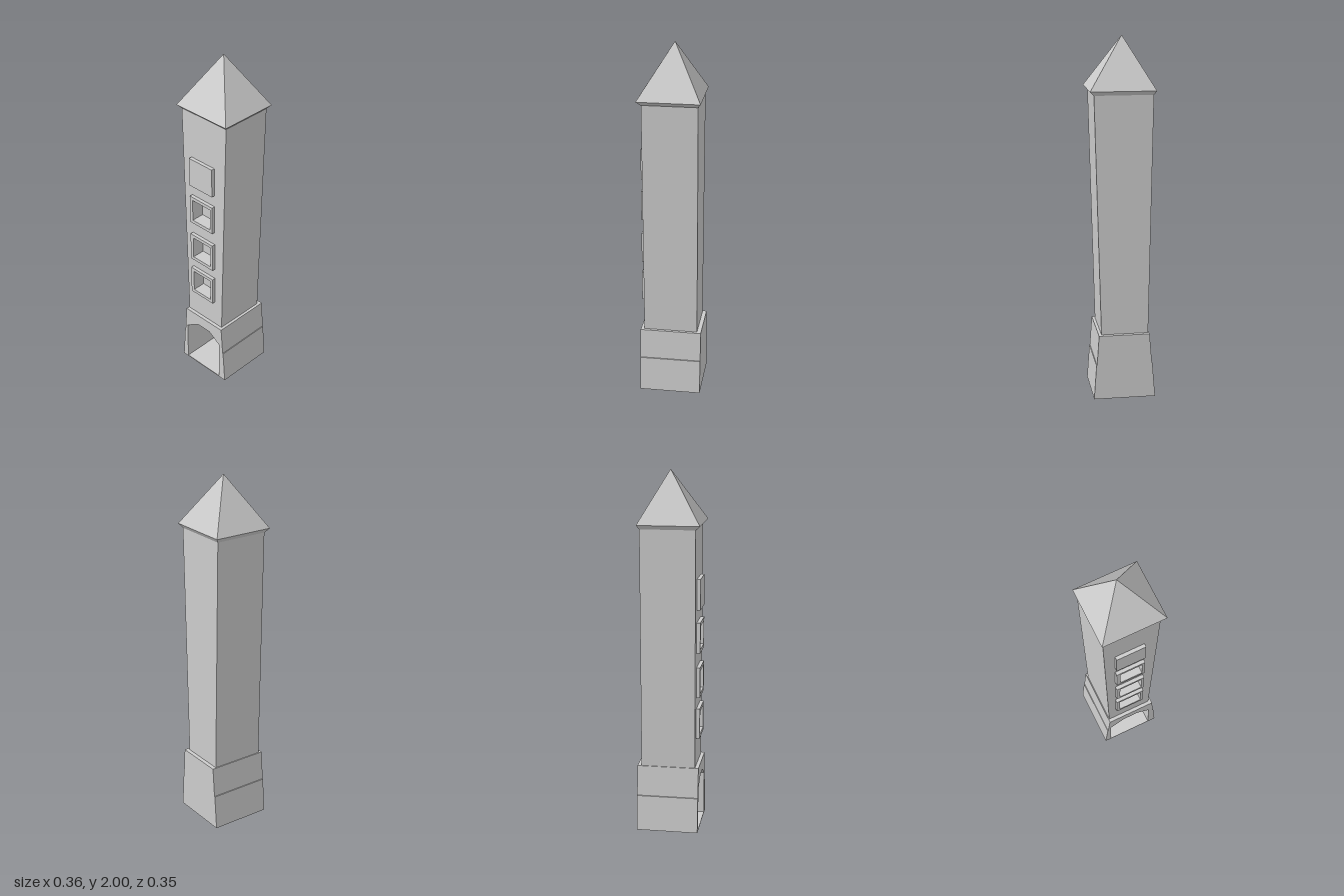
import * as THREE from 'three';

const material = new THREE.MeshStandardMaterial({ color: 0xcccccc, flatShading: true });

// Front outline (with optional holes) extruded from zBack to zFront
function slab(name, outline, zBack, zFront, holes = []) {
  const toPoints = list => list.map(([x, y]) => new THREE.Vector2(x, y));
  const shape = new THREE.Shape(toPoints(outline));
  shape.holes = holes.map(h => new THREE.Path(toPoints(h)));
  const geometry = new THREE.ExtrudeGeometry(shape, { depth: zFront - zBack, bevelEnabled: false });
  geometry.translate(0, 0, zBack);
  const mesh = new THREE.Mesh(geometry, material);
  mesh.name = name;
  return mesh;
}

const rect = (x0, y0, x1, y1) => [[x0, y0], [x1, y0], [x1, y1], [x0, y1]];

// Four-sided rings [x0, x1, z0, z1, y] joined from bottom to top
function ringSolid(name, rings) {
  const corners = rings.map(([x0, x1, z0, z1, y]) =>
    [[x0, y, z1], [x1, y, z1], [x1, y, z0], [x0, y, z0]]);
  const positions = [];
  const quad = (a, b, c, d) => positions.push(...a, ...b, ...c, ...a, ...c, ...d);
  for (let i = 0; i + 1 < corners.length; i++) {
    for (let k = 0; k < 4; k++) {
      const n = (k + 1) % 4;
      quad(corners[i][k], corners[i][n], corners[i + 1][n], corners[i + 1][k]);
    }
  }
  const [a, b, c, d] = corners[0];
  quad(d, c, b, a);
  const geometry = new THREE.BufferGeometry();
  geometry.setAttribute('position', new THREE.Float32BufferAttribute(positions, 3));
  geometry.computeVertexNormals();
  const mesh = new THREE.Mesh(geometry, material);
  mesh.name = name;
  return mesh;
}

export function createModel() {
  const tower = new THREE.Group();
  tower.name = 'tower';

  // Flared base with a fine ledge on the sides and a deep doorway
  const baseOutline = [
    [-0.178, 0], [0.166, 0], [0.152, 0.198], [0.149, 0.2],
    [0.137, 0.37], [-0.145, 0.37], [-0.159, 0.2], [-0.162, 0.198],
  ];
  const doorway = [
    [-0.14, 0.006], [0.119, 0.006], [0.119, 0.25],
    [0.04, 0.302], [-0.05, 0.302], [-0.14, 0.245],
  ];
  const base = new THREE.Group();
  base.name = 'base';
  base.add(slab('doorwayWalls', baseOutline, -0.12, 0.17, [doorway]));
  base.add(slab('baseBackWall', baseOutline, -0.173, -0.12));
  tower.add(base);

  // Shaft widening upwards, with three window recesses
  const shaftOutline = [[-0.14, 0.37], [0.121, 0.37], [0.156, 1.697], [-0.164, 1.697]];
  const windowBottoms = [0.53, 0.764, 1.015];
  const openings = windowBottoms.map(y => rect(-0.077, y + 0.02, 0.055, y + 0.15));
  const shaft = new THREE.Group();
  shaft.name = 'shaft';
  shaft.add(slab('shaftFront', shaftOutline, 0.095, 0.15, openings));
  shaft.add(slab('shaftBody', shaftOutline, -0.15, 0.095));
  tower.add(shaft);

  // Raised window frames and the closed panel above them
  windowBottoms.forEach((y, i) => {
    tower.add(slab('windowFrame', rect(-0.098, y, 0.071, y + 0.17), 0.15, 0.17, [openings[i]]));
  });
  tower.add(slab('upperPanel', rect(-0.098, 1.254, 0.071, 1.424), 0.14, 0.17));

  // Pointed roof with a sloping eave
  tower.add(ringSolid('roof', [
    [-0.164, 0.157, -0.15, 0.152, 1.695],
    [-0.178, 0.178, -0.165, 0.175, 1.717],
    [-0.012, -0.012, -0.005, -0.005, 2],
  ]));

  return tower;
}
